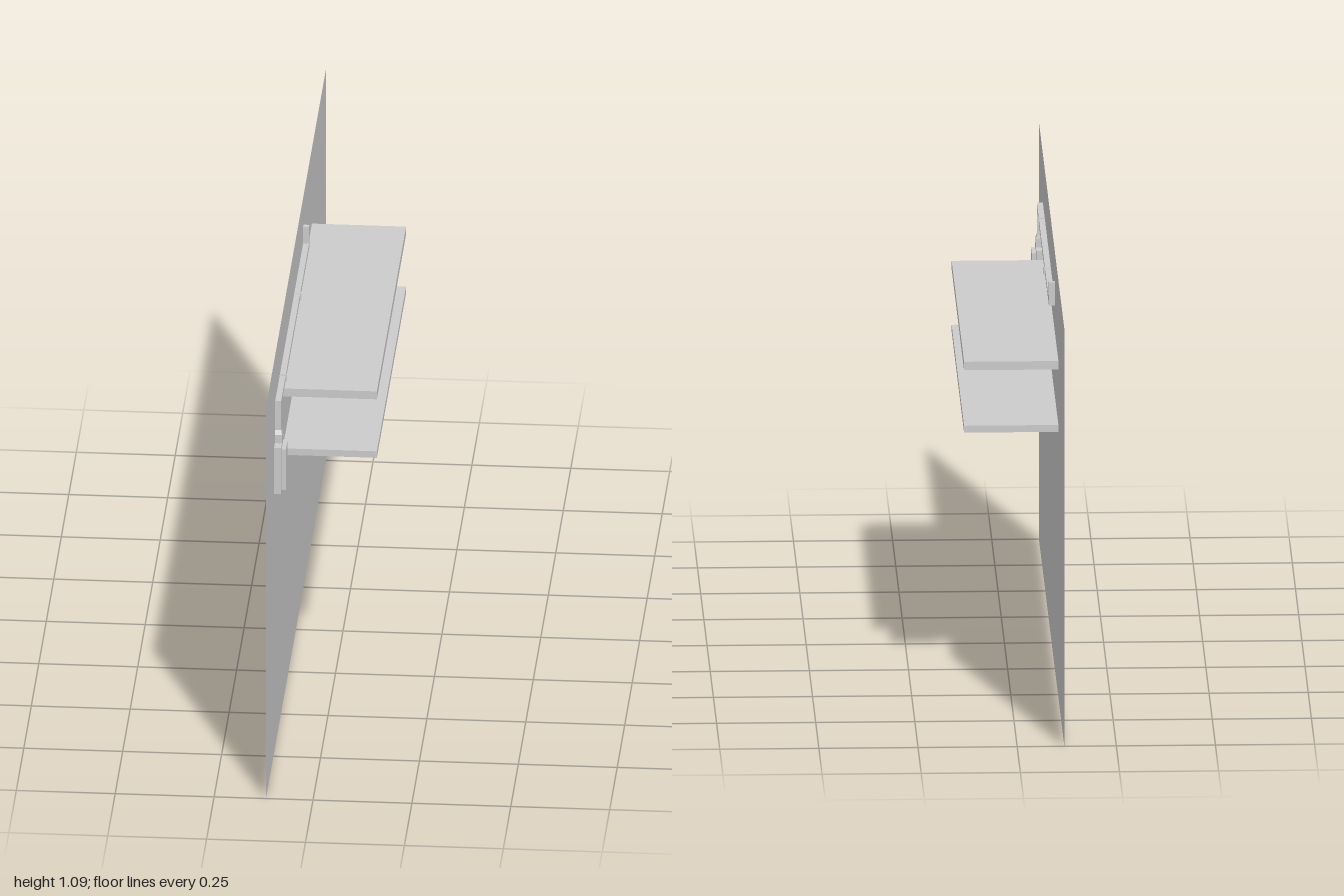
import * as THREE from 'three';

const WALL_X = -0.119;

export function createModel() {
  const model = new THREE.Group();
  const solid = new THREE.MeshStandardMaterial({ color: 0xcccccc, flatShading: true });
  const thin = new THREE.MeshStandardMaterial({ color: 0xcccccc, flatShading: true, side: THREE.DoubleSide });

  const add = (name, geometry, material = solid) => {
    const mesh = new THREE.Mesh(geometry, material);
    mesh.name = name;
    model.add(mesh);
    return mesh;
  };
  // Box given by its limits on each axis
  const block = (name, x0, x1, y0, y1, z0, z1) =>
    add(name, new THREE.BoxGeometry(x1 - x0, y1 - y0, z1 - z0))
      .position.set((x0 + x1) / 2, (y0 + y1) / 2, (z0 + z1) / 2);
  // Corners of a rectangle in a plane of constant x
  const rect = (x, r) => [[x, r.y0, r.z0], [x, r.y0, r.z1], [x, r.y1, r.z1], [x, r.y1, r.z0]];
  // Faces joining successive four-cornered sections, with optional end caps
  const loft = (sections, capStart, capEnd) => {
    const index = [];
    const last = (sections.length - 1) * 4;
    for (let s = 0; s < last; s += 4) {
      for (let i = 0; i < 4; i++) {
        const a = s + i, b = s + (i + 1) % 4;
        index.push(a, b + 4, b, a, a + 4, b + 4);
      }
    }
    if (capStart) index.push(0, 1, 2, 0, 2, 3);
    if (capEnd) index.push(last, last + 2, last + 1, last, last + 3, last + 2);
    const g = new THREE.BufferGeometry();
    g.setAttribute('position', new THREE.Float32BufferAttribute(sections.flat(2), 3));
    g.setIndex(index);
    const flat = g.toNonIndexed();
    flat.computeVertexNormals();
    return flat;
  };

  const frame = { y0: 0.721, y1: 0.849, z0: 0.645, z1: 0.727 };
  const panel = { y0: 0.727, y1: 0.84, z0: 0.655, z1: 0.715 };

  // Wall sheet with an opening behind the switch box
  const sheet = new THREE.Shape([[-1, 0], [1, 0], [1, 1.09], [-1, 1.09]].map(p => new THREE.Vector2(...p)));
  sheet.holes.push(new THREE.Path(rect(0, frame).map(([, y, z]) => new THREE.Vector2(-z, y))));
  add('wall', new THREE.ShapeGeometry(sheet).rotateY(Math.PI / 2), thin).position.x = WALL_X;

  // Two shelves
  block('upperShelf', WALL_X, 0.119, 0.858, 0.88, -0.534, 0.441);
  block('lowerShelf', WALL_X, 0.119, 0.695, 0.713, -0.534, 0.441);

  // Hollow switch box: outer frame stepping out to a raised panel, open at the back
  add('switchBox', loft([
    rect(WALL_X, frame), rect(-0.101, frame), rect(-0.101, panel), rect(-0.09, panel),
  ], false, true), thin);

  // Tapered connector on top of the box
  const level = (y, x1, z0, z1) => [[WALL_X, y, z0], [x1, y, z0], [x1, y, z1], [WALL_X, y, z1]];
  add('connector', loft([
    level(0.849, -0.101, 0.675, 0.699),
    level(0.872, -0.101, 0.675, 0.699),
    level(0.882, -0.104, 0.677, 0.691),
  ], true, true), thin);

  // Cable channel: rise from the box, long run, short rise at the far end
  block('channelRise', WALL_X, -0.104, 0.88, 0.949, 0.677, 0.691);
  block('channelRun', WALL_X, -0.104, 0.949, 0.963, -0.254, 0.691);
  block('channelEnd', WALL_X, -0.104, 0.963, 1.009, -0.254, -0.24);

  // Clips holding the run
  for (const z of [0.535, 0.055]) block('clip', WALL_X, -0.101, 0.947, 0.965, z - 0.004, z + 0.004);

  return model;
}
